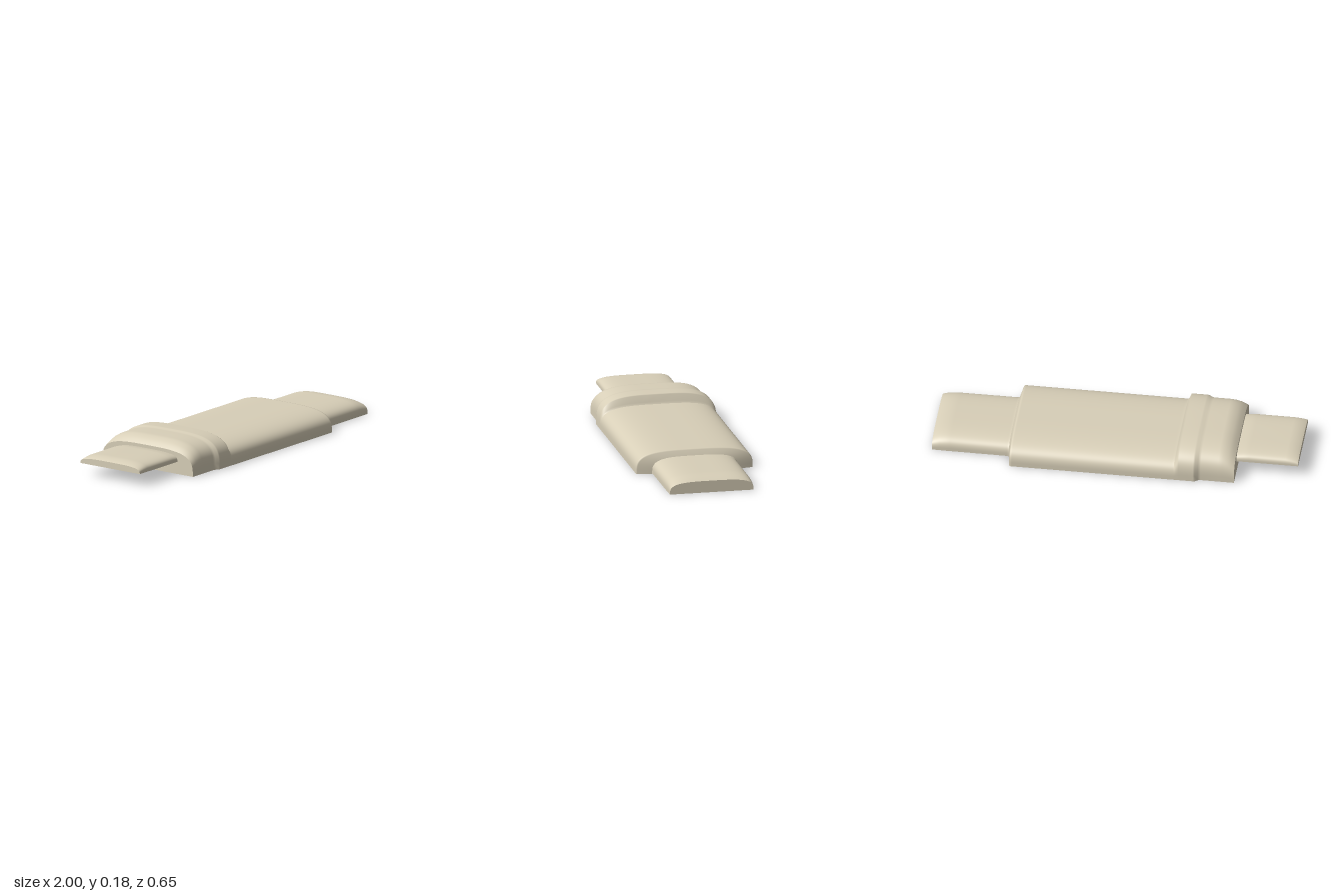
import * as THREE from 'three';

const SEGMENTS = 56;
const ROUNDNESS = 3.5;

// half superellipse arch, running from +z over the top to -z
function arch(halfWidth, height) {
  const points = [];
  for (let i = 0; i <= SEGMENTS; i++) {
    const a = (Math.PI * i) / SEGMENTS;
    const c = Math.cos(a), s = Math.max(0, Math.sin(a));
    const y = i === SEGMENTS ? 0 : height * Math.pow(s, 2 / ROUNDNESS);
    points.push([halfWidth * Math.sign(c) * Math.pow(Math.abs(c), 2 / ROUNDNESS), y]);
  }
  return points;
}

// open-bottomed shell through stations of [x, half width, height]
function loftArches(stations) {
  const positions = [], indices = [], row = SEGMENTS + 1;
  stations.forEach(([x, w, h], k) => {
    for (const [z, y] of arch(w, h)) positions.push(x, y, z);
    if (k === 0) return;
    for (let i = 0; i < SEGMENTS; i++) {
      const a = (k - 1) * row + i, b = a + row;
      indices.push(a, b, a + 1, b, b + 1, a + 1);
    }
  });
  const geometry = new THREE.BufferGeometry();
  geometry.setAttribute('position', new THREE.Float32BufferAttribute(positions, 3));
  geometry.setIndex(indices);
  geometry.computeVertexNormals();
  return geometry;
}

// flat arch-shaped wall closing a shell; facing is +1 or -1 along x
function endWall([x, w, h], facing) {
  const shape = new THREE.Shape(arch(w, h).map(([z, y]) => new THREE.Vector2(z, y)));
  const geometry = new THREE.ShapeGeometry(shape);
  geometry.rotateY((facing * Math.PI) / 2);
  geometry.translate(x, 0, 0);
  return geometry;
}

export function createModel() {
  const model = new THREE.Group();
  const material = new THREE.MeshStandardMaterial({ color: 0xcccccc, side: THREE.DoubleSide });
  material.color.set(0xd8cfb8);
  const add = (name, geometry, y = 0) => {
    const mesh = new THREE.Mesh(geometry, material);
    mesh.name = name;
    mesh.position.y = y;
    model.add(mesh);
  };

  // raised collar, flat body and the wide tongue as one continuous shell
  const collar = [
    [-0.663, 0.307, 0.13], [-0.645, 0.307, 0.146], [-0.625, 0.307, 0.158], [-0.6, 0.307, 0.167],
    [-0.575, 0.307, 0.171], [-0.48, 0.307, 0.171], [-0.465, 0.311, 0.172], [-0.45, 0.323, 0.176],
    [-0.44, 0.324, 0.176], [-0.36, 0.324, 0.176], [-0.353, 0.324, 0.173], [-0.341, 0.324, 0.136],
    [-0.334, 0.324, 0.125],
  ];
  const body = [collar[collar.length - 1], [-0.32, 0.324, 0.124], [0.55, 0.324, 0.124],
    [0.56, 0.324, 0.123], [0.565, 0.318, 0.118], [0.578, 0.238, 0.09]];
  const tongue = [body[body.length - 1], [0.59, 0.235, 0.088], [0.9, 0.234, 0.088],
    [0.93, 0.234, 0.086], [0.96, 0.233, 0.081], [0.985, 0.233, 0.073], [1, 0.232, 0.065]];
  add('collar', loftArches(collar));
  add('collarEndWall', endWall(collar[0], -1));
  add('body', loftArches(body));
  add('wideTongue', loftArches(tongue));
  add('wideTongueEndWall', endWall(tongue[tongue.length - 1], 1));

  // narrow raised tongue passing into the collar
  const tip = [[-1, 0.202, 0.035], [-0.985, 0.202, 0.042], [-0.96, 0.202, 0.048], [-0.93, 0.202, 0.052],
    [-0.73, 0.202, 0.052], [-0.7, 0.202, 0.05], [-0.663, 0.202, 0.044], [-0.645, 0.202, 0.04]];
  add('narrowTongue', loftArches(tip), 0.068);
  add('narrowTongueEndWall', endWall(tip[0], -1), 0.068);

  return model;
}
